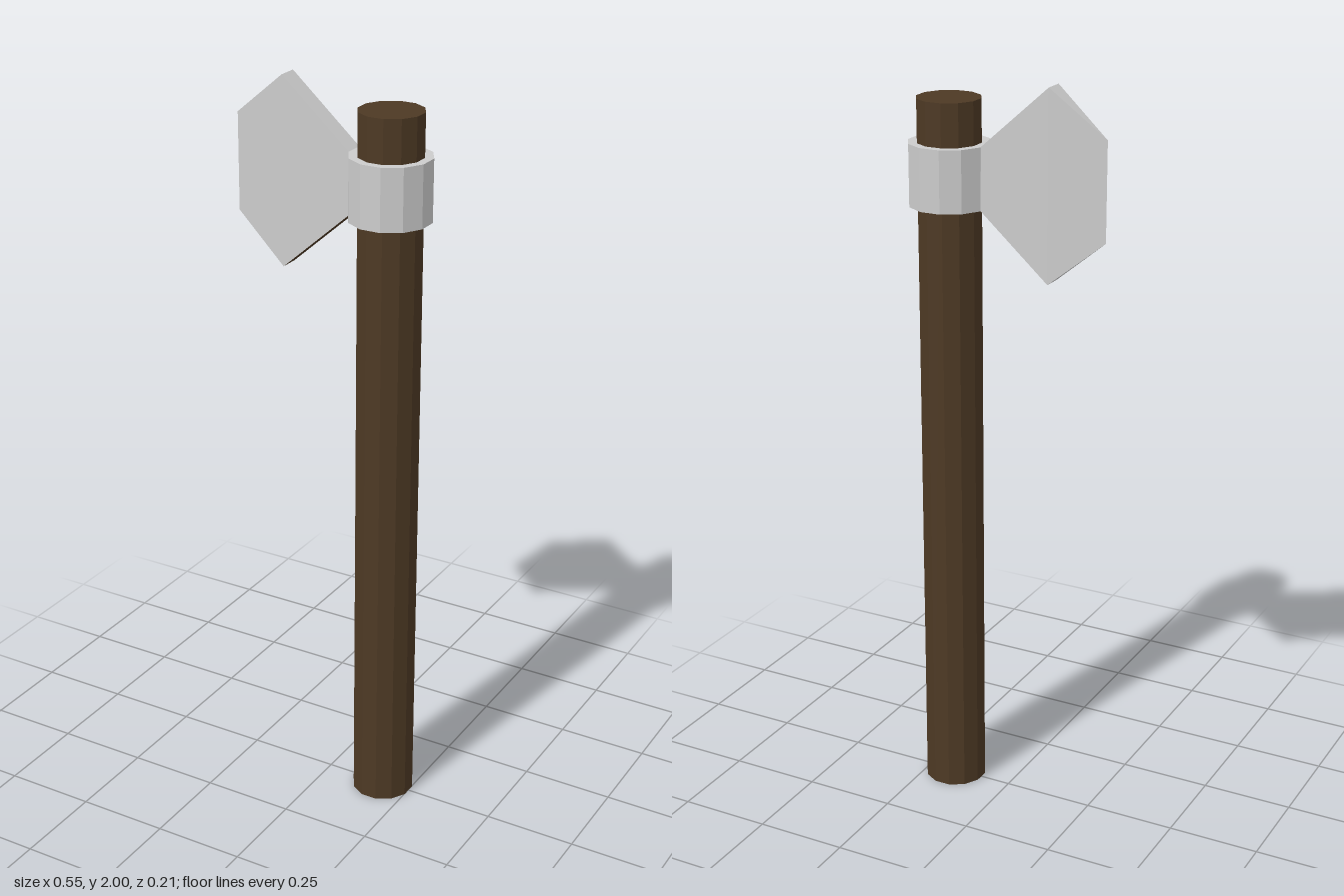
import * as THREE from 'three';

const SIDES = 12;
const AXIS_X = 0.169;
const grey = new THREE.MeshStandardMaterial({ color: 0xcccccc, flatShading: true });
const brown = new THREE.MeshStandardMaterial({ color: 0x4d3924, flatShading: true });

// Upright twelve-sided prism on the handle axis, with flats facing front and sides
function prism(name, flatRadius, y0, y1, material) {
  const r = flatRadius / Math.cos(Math.PI / SIDES);
  const geo = new THREE.CylinderGeometry(r, r, y1 - y0, SIDES);
  geo.rotateY(Math.PI / SIDES);
  geo.translate(AXIS_X, (y0 + y1) / 2, 0);
  const mesh = new THREE.Mesh(geo, material);
  mesh.name = name;
  return mesh;
}

// Flat faces (triangles or quads, corners counter-clockwise)
function faceted(name, faces, material) {
  const pos = [];
  for (const f of faces) {
    for (let i = 1; i < f.length - 1; i++) pos.push(...f[0], ...f[i], ...f[i + 1]);
  }
  const geo = new THREE.BufferGeometry();
  geo.setAttribute('position', new THREE.Float32BufferAttribute(pos, 3));
  geo.computeVertexNormals();
  const mesh = new THREE.Mesh(geo, material);
  mesh.name = name;
  return mesh;
}

// Blade cross-sections from collar to cutting edge
function section(x, y0, y1, h) {
  return { bf: [x, y0, h], tf: [x, y1, h], bb: [x, y0, -h], tb: [x, y1, -h] };
}

export function createModel() {
  const model = new THREE.Group();
  model.name = 'axe';

  model.add(prism('handle', 0.082, 0, 1.945, brown));
  model.add(prism('collar', 0.104, 1.668, 1.832, grey));

  const root = section(0.065, 1.668, 1.832, 0.027);
  const mid = section(-0.125, 1.5, 2.0, 0.027);
  const edge = section(-0.273, 1.62, 1.88, 0);

  const blade = new THREE.Group();
  blade.name = 'blade';
  blade.add(faceted('bladeBody', [
    [root.bf, root.tf, mid.tf, mid.bf], // front cheek
    [mid.bb, mid.tb, root.tb, root.bb], // back cheek
    [root.tf, root.tb, mid.tb, mid.tf], // upper slope
    [mid.bf, mid.tf, edge.tf, edge.bf], // front bevel
    [edge.bb, edge.tb, mid.tb, mid.bb], // back bevel
    [mid.tf, mid.tb, edge.tf],          // upper tip
    [edge.bf, mid.bb, mid.bf],          // lower tip
  ], grey));
  blade.add(faceted('bladeUnderside', [[mid.bf, mid.bb, root.bb, root.bf]], brown));
  model.add(blade);

  return model;
}
